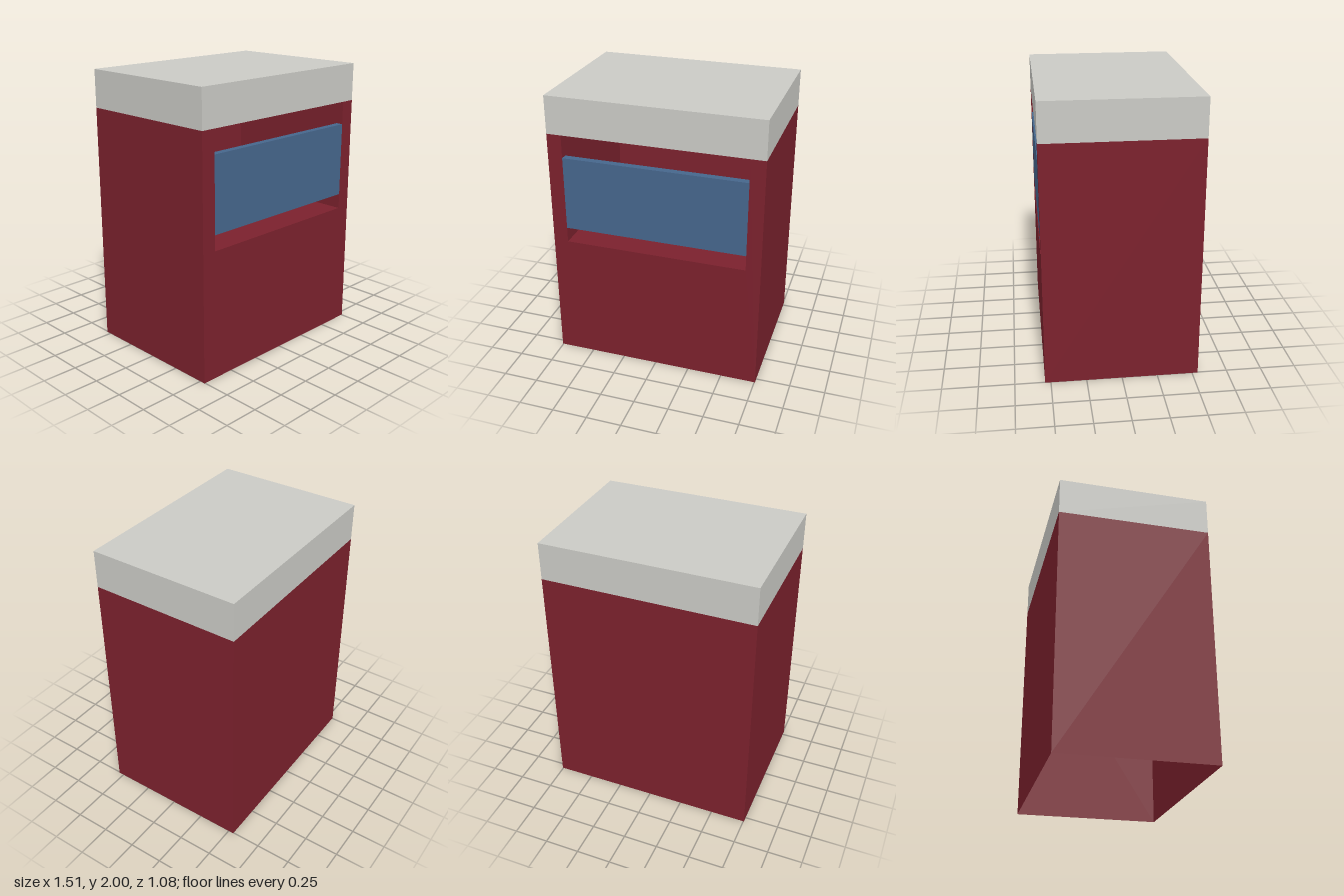
import * as THREE from 'three';

const W = 0.755, D = 0.54, BODY_TOP = 1.73, TOP = 2;            // half width, half depth, heights
const OPEN_W = 0.65, OPEN_BOTTOM = 0.92, RECESS_BACK = -0.49;   // opening in the front

export function createModel() {
  const model = new THREE.Group();
  const red = new THREE.MeshStandardMaterial({ color: 0x7b212d, side: THREE.DoubleSide });
  red.name = 'dark red body';
  const grey = new THREE.MeshStandardMaterial({ color: 0xcacac5 });
  grey.name = 'light grey lid';
  const blue = new THREE.MeshStandardMaterial({ color: 0x46668c });
  blue.name = 'blue flap';

  const add = (name, geometry, material, x, y, z, rx = 0, ry = 0) => {
    const mesh = new THREE.Mesh(geometry, material);
    mesh.name = name;
    mesh.position.set(x, y, z);
    mesh.rotation.set(rx, ry, 0);
    model.add(mesh);
  };

  // front panel, notched from the lid down
  const front = new THREE.Shape([
    [-W, 0], [W, 0], [W, BODY_TOP], [OPEN_W, BODY_TOP], [OPEN_W, OPEN_BOTTOM],
    [-OPEN_W, OPEN_BOTTOM], [-OPEN_W, BODY_TOP], [-W, BODY_TOP],
  ].map(([x, y]) => new THREE.Vector2(x, y)));
  add('frontPanel', new THREE.ShapeGeometry(front), red, 0, 0, D);

  // thin outer walls, open underneath
  add('backPanel', new THREE.PlaneGeometry(2 * W, BODY_TOP), red, 0, BODY_TOP / 2, -D, 0, Math.PI);

  // recess behind the opening
  const recessH = BODY_TOP - OPEN_BOTTOM, recessD = D - RECESS_BACK;
  const recessY = OPEN_BOTTOM + recessH / 2, recessZ = (D + RECESS_BACK) / 2;
  add('recessBack', new THREE.PlaneGeometry(2 * OPEN_W, recessH), red, 0, recessY, RECESS_BACK);
  add('recessFloor', new THREE.PlaneGeometry(2 * OPEN_W, recessD), red, 0, OPEN_BOTTOM, recessZ, -Math.PI / 2);

  // mirrored side walls, outer and inner
  for (const [side, s] of [['left', 1], ['right', -1]]) {
    add(side + 'Panel', new THREE.PlaneGeometry(2 * D, BODY_TOP), red, s * W, BODY_TOP / 2, 0, 0, s * Math.PI / 2);
    add(side + 'RecessWall', new THREE.PlaneGeometry(recessD, recessH), red, s * OPEN_W, recessY, recessZ, 0, -s * Math.PI / 2);
  }

  // lid block
  add('lid', new THREE.BoxGeometry(2 * W, TOP - BODY_TOP, 2 * D), grey, 0, (TOP + BODY_TOP) / 2, 0);

  // flap across the opening, flush with the front
  const flapBottom = 1.03, flapTop = 1.565, flapDepth = 0.05;
  add('flap', new THREE.BoxGeometry(2 * OPEN_W, flapTop - flapBottom, flapDepth), blue,
    0, (flapTop + flapBottom) / 2, D - flapDepth / 2);

  return model;
}
